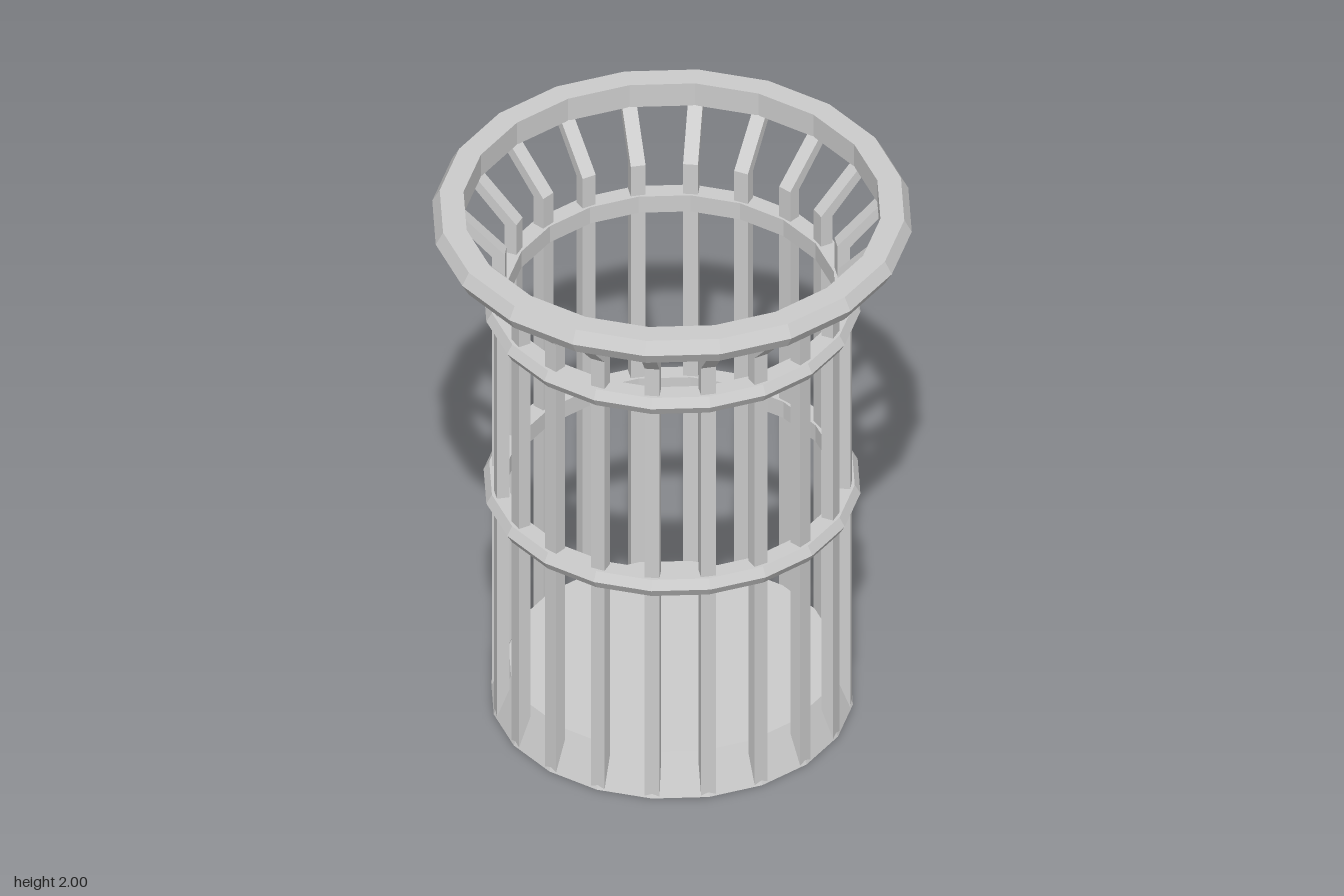
import * as THREE from 'three';

const SIDES = 20;
const material = new THREE.MeshStandardMaterial({ color: 0xcccccc, flatShading: true });

// Twenty-sided solid of revolution from [radius, y] points, listed bottom to top on the outside
function ring(name, profile) {
  const points = profile.map(([r, y]) => new THREE.Vector2(r, y));
  const mesh = new THREE.Mesh(new THREE.LatheGeometry(points, SIDES), material);
  mesh.name = name;
  return mesh;
}

// Band with a ridged outer face
function hoop(name, y, half, inner, outer, ridge) {
  return ring(name, [
    [inner, y - half], [outer, y - half], [ridge, y],
    [outer, y + half], [inner, y + half], [inner, y - half],
  ]);
}

export function createModel() {
  const basket = new THREE.Group();
  basket.name = 'slattedBasket';

  // Solid tapered base
  basket.add(ring('base', [[0, 0], [0.606, 0], [0.547, 0.15], [0, 0.15]]));

  // Two hoops and the wide top rim
  basket.add(hoop('middleHoop', 0.868, 0.033, 0.55, 0.612, 0.631));
  basket.add(hoop('upperHoop', 1.614, 0.033, 0.55, 0.612, 0.631));
  basket.add(hoop('topRim', 1.955, 0.045, 0.698, 0.778, 0.803));

  // Upright slats that flare outward beneath the rim
  const outline = new THREE.Shape([
    [0.557, 0.005], [0.6, 0.005], [0.6, 1.757], [0.762, 1.93], [0.716, 1.93], [0.557, 1.768],
  ].map(([r, y]) => new THREE.Vector2(r, y)));
  const slatGeometry = new THREE.ExtrudeGeometry(outline, { depth: 0.05, bevelEnabled: false });
  slatGeometry.translate(0, 0, -0.025);

  const slats = new THREE.Group();
  slats.name = 'slats';
  for (let i = 0; i < SIDES; i++) {
    const slat = new THREE.Mesh(slatGeometry, material);
    slat.name = 'slat';
    slat.rotation.y = (i / SIDES) * Math.PI * 2;
    slats.add(slat);
  }
  basket.add(slats);

  return basket;
}
